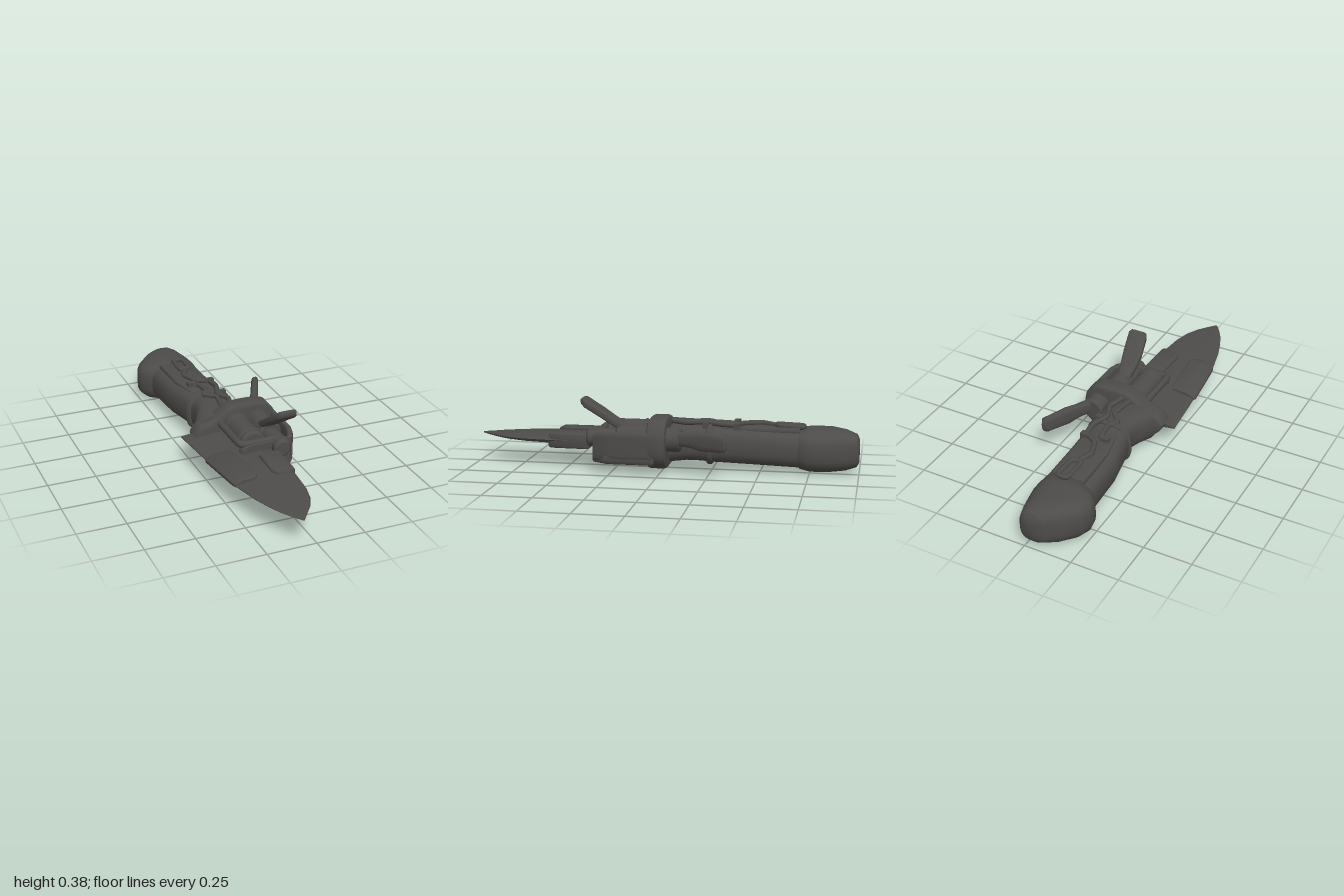
import * as THREE from 'three';
import { toCreasedNormals } from 'three/addons/utils/BufferGeometryUtils.js';

const V = (x, y, z) => new THREE.Vector3(x, y, z);

// Unit outline, counter-clockwise: a rounded box, rounder for a lower power
function roundOutline(power, n = 28) {
  return Array.from({ length: n }, (_, i) => {
    const a = (i / n) * Math.PI * 2, c = Math.cos(a), s = Math.sin(a);
    return [Math.sign(c) * Math.abs(c) ** (2 / power), Math.sign(s) * Math.abs(s) ** (2 / power)];
  });
}

// Skin over sections [z, x0, x1, y0, y1], listed from back to front
function loft(sections, outline, crease = 0.7) {
  const pos = [], index = [], n = outline.length, last = sections.length - 1;
  for (const [z, x0, x1, y0, y1] of sections) {
    for (const [u, v] of outline) {
      pos.push((x0 + x1) / 2 + (u * (x1 - x0)) / 2, (y0 + y1) / 2 + (v * (y1 - y0)) / 2, z);
    }
  }
  for (const s of [sections[0], sections[last]]) pos.push((s[1] + s[2]) / 2, (s[3] + s[4]) / 2, s[0]);
  for (let j = 0; j < n; j++) {
    const k = (j + 1) % n;
    for (let i = 0; i < last; i++) {
      const a = i * n + j, b = i * n + k;
      index.push(a, b, b + n, a, b + n, a + n);
    }
    index.push((last + 1) * n, k, j, (last + 1) * n + 1, last * n + j, last * n + k);
  }
  const g = new THREE.BufferGeometry();
  g.setAttribute('position', new THREE.Float32BufferAttribute(pos, 3));
  g.setIndex(index);
  return toCreasedNormals(g, crease);
}

// Bevelled plate from an outline; thickness includes the bevel
function plate(points, depth, bevel, holes = [], smooth = false) {
  const pts = points.map(([x, y]) => new THREE.Vector2(x, y));
  const shape = smooth
    ? new THREE.Shape(new THREE.SplineCurve([...pts, pts[0]]).getPoints(56).slice(0, -1))
    : new THREE.Shape(pts);
  for (const [x0, x1, y0, y1] of holes) {
    shape.holes.push(new THREE.Path([[x0, y0], [x0, y1], [x1, y1], [x1, y0]].map(p => new THREE.Vector2(...p))));
  }
  const g = new THREE.ExtrudeGeometry(shape, {
    depth: depth - 2 * bevel, bevelEnabled: true, bevelSize: bevel, bevelThickness: bevel, bevelOffset: -bevel, bevelSegments: 2,
  });
  return toCreasedNormals(g.translate(0, 0, bevel), 0.6);
}

// Plate lying flat, outline in x and z, between two heights
const flatPlate = (points, y0, y1, bevel, holes) =>
  plate(points, y1 - y0, bevel, holes).rotateX(Math.PI / 2).translate(0, y1, 0);

const tube = (points, r, closed = false) =>
  new THREE.TubeGeometry(new THREE.CatmullRomCurve3(points.map(p => V(...p)), closed, 'catmullrom', 0.2), 48, r, 8, closed);

// Drum along z with rounded rims
function drum(x, y, z0, z1, r) {
  const b = 0.012, h = z1 - z0;
  const profile = [[0, 0], [r - b, 0], [r, b], [r, h - b], [r - b, h], [0, h]].map(p => new THREE.Vector2(...p));
  return toCreasedNormals(new THREE.LatheGeometry(profile, 28).rotateX(Math.PI / 2), 0.6).translate(x, y, z0);
}

export function createModel() {
  const model = new THREE.Group();
  const steel = new THREE.MeshStandardMaterial({ color: 0x4e4c4a });
  steel.name = 'dark steel';
  const add = (name, geometry) => {
    const mesh = new THREE.Mesh(geometry, steel);
    mesh.name = name;
    model.add(mesh);
    return mesh;
  };
  const soft = roundOutline(3), boxy = roundOutline(5);

  // Blade: sharp on its right edge, thicker on its left
  const bladeOutline = [[-1, -0.1], [-0.35, -0.75], [0.5, -1], [0.93, -0.7], [1, 0], [0.93, 0.7], [0.5, 1], [-0.35, 0.75], [-1, 0.1]];
  add('blade', loft([
    [0, -0.29, 0.07, 0.105, 0.16], [0.29, -0.265, 0.08, 0.107, 0.16], [0.59, -0.235, 0.08, 0.115, 0.162],
    [0.74, -0.2, 0.067, 0.12, 0.157], [0.83, -0.17, 0.045, 0.125, 0.153], [0.9, -0.14, 0.01, 0.129, 0.15],
    [0.96, -0.105, -0.035, 0.132, 0.147], [1, -0.075, -0.065, 0.136, 0.143],
  ], bladeOutline, 0.5));
  const wedge = [[-1, -0.2], [-0.2, -0.9], [0.9, -1], [1, -0.85], [1, 0.85], [0.9, 1], [-0.2, 0.9], [-1, 0.2]];
  add('edgePanel', loft([
    [0.28, -0.267, -0.14, 0.107, 0.163], [0.295, -0.272, -0.133, 0.1, 0.17], [0.55, -0.245, -0.108, 0.103, 0.175],
    [0.58, -0.24, -0.12, 0.105, 0.173], [0.595, -0.235, -0.135, 0.113, 0.165],
  ], wedge));
  add('spinePanel', flatPlate(
    [[-0.03, 0.4], [0, 0.385], [0.083, 0.385], [0.076, 0.59], [0.065, 0.605], [-0.02, 0.6], [-0.037, 0.57]], 0.095, 0.176, 0.012));

  // Handle
  add('grip', loft([
    [-0.74, -0.205, 0.065, 0.02, 0.215], [-0.45, -0.195, 0.066, 0.03, 0.225], [-0.25, -0.158, 0.07, 0.038, 0.232],
    [-0.19, -0.14, 0.07, 0.043, 0.235], [-0.12, -0.165, 0.075, 0.043, 0.235], [-0.04, -0.2, 0.1, 0.035, 0.23], [0.02, -0.2, 0.12, 0.035, 0.23],
  ], soft));
  add('pommel', loft([
    [-1, -0.075, 0.01, 0.06, 0.175], [-0.987, -0.11, 0.028, 0.035, 0.2], [-0.93, -0.175, 0.046, 0.013, 0.216],
    [-0.86, -0.235, 0.062, 0.003, 0.221], [-0.8, -0.256, 0.075, 0, 0.22], [-0.75, -0.247, 0.076, 0.002, 0.22],
    [-0.7, -0.21, 0.07, 0.015, 0.218], [-0.69, -0.2, 0.062, 0.025, 0.21],
  ], soft));
  add('gripStrap', loft([
    [-0.255, -0.162, 0.075, 0.032, 0.238], [-0.248, -0.17, 0.08, 0.026, 0.245],
    [-0.232, -0.165, 0.08, 0.026, 0.245], [-0.225, -0.155, 0.075, 0.032, 0.238],
  ], soft));
  add('gripPanel', flatPlate(
    [[-0.155, -0.7], [0.02, -0.7], [0.03, -0.3], [-0.04, -0.27], [-0.12, -0.3], [-0.15, -0.45]], 0.2, 0.229, 0.01));

  // Cables and clips on top of the grip
  add('cableLoop', tube([[-0.07, 0.232, -0.71], [-0.02, 0.232, -0.71], [-0.025, 0.235, -0.59], [-0.075, 0.235, -0.58]], 0.013, true));
  add('longCable', tube([[-0.05, 0.232, -0.58], [-0.085, 0.237, -0.5], [-0.05, 0.238, -0.41], [0.015, 0.238, -0.37],
    [0.02, 0.242, -0.29], [-0.01, 0.245, -0.2], [0.02, 0.245, -0.12], [-0.01, 0.25, -0.02]], 0.014));
  add('shortCable', tube([[-0.11, 0.225, -0.37], [-0.06, 0.235, -0.36], [-0.05, 0.24, -0.26], [-0.08, 0.24, -0.22],
    [-0.03, 0.245, -0.16], [-0.05, 0.245, -0.03]], 0.013));
  for (const [x, z] of [[-0.09, -0.37], [0.015, -0.38], [-0.06, -0.23], [0.02, -0.22]]) {
    add('cableClip', new THREE.BoxGeometry(0.045, 0.035, 0.03)).position.set(x, 0.232, z);
  }

  // Guard: solid collar around the root of the blade
  add('guard', plate([[-0.235, 0.145], [-0.22, 0.11], [-0.17, 0.06], [-0.1, 0.03], [0, 0.021], [0.13, 0.023], [0.185, 0.05], [0.216, 0.1],
    [0.216, 0.19], [0.19, 0.245], [0.14, 0.277], [0, 0.28], [-0.06, 0.262], [-0.12, 0.22], [-0.2, 0.19]], 0.1, 0.018, [], true).translate(0, 0, -0.038));

  // Mechanism ahead of the guard
  add('lowerFrame', flatPlate([[-0.1, 0.02], [0.213, 0.02], [0.213, 0.27], [0.17, 0.345], [-0.08, 0.345], [-0.105, 0.31]],
    0.05, 0.1, 0.015, [[-0.055, 0.035, 0.09, 0.28], [0.08, 0.165, 0.09, 0.28]]));
  add('sideWall', loft([[0.03, 0.185, 0.216, 0.075, 0.215], [0.24, 0.185, 0.216, 0.075, 0.215],
    [0.29, 0.17, 0.205, 0.07, 0.21], [0.34, 0.145, 0.18, 0.065, 0.2]], boxy));
  add('upperRail', tube([[-0.095, 0.2, 0.04], [-0.095, 0.2, 0.29], [-0.075, 0.2, 0.32], [0.1, 0.2, 0.322]], 0.019));
  add('frontBracket', loft([[0.295, -0.09, 0.17, 0.055, 0.2], [0.31, -0.1, 0.18, 0.05, 0.205], [0.335, -0.095, 0.175, 0.05, 0.205],
    [0.345, -0.085, 0.165, 0.055, 0.2]], boxy));
  add('leftDrum', drum(0.11, 0.18, 0.04, 0.23, 0.062));
  add('leftDrumNose', drum(0.11, 0.17, 0.2, 0.385, 0.047));
  add('rightDrum', drum(-0.015, 0.182, 0.04, 0.3, 0.066));
  for (const z of [0.08, 0.24]) add('drumBand', drum(-0.015, 0.182, z, z + 0.03, 0.071));

  // Raised front lever
  add('frontLever', loft([[0.17, 0.065, 0.13, 0.19, 0.235], [0.25, 0.055, 0.15, 0.24, 0.285], [0.3, 0.055, 0.162, 0.275, 0.32],
    [0.385, 0.07, 0.176, 0.33, 0.378], [0.4, 0.078, 0.17, 0.345, 0.38], [0.407, 0.09, 0.16, 0.355, 0.375]], boxy));

  // Swept rear lever and its pivot
  add('rearPivot', drum(0.13, 0.175, -0.11, 0, 0.062));
  add('rearLever', loft([[-0.36, 0.265, 0.282, 0.165, 0.21], [-0.345, 0.248, 0.29, 0.145, 0.23], [-0.22, 0.19, 0.235, 0.138, 0.235],
    [-0.16, 0.162, 0.21, 0.15, 0.225], [-0.06, 0.11, 0.17, 0.15, 0.22]], soft));

  return model;
}
